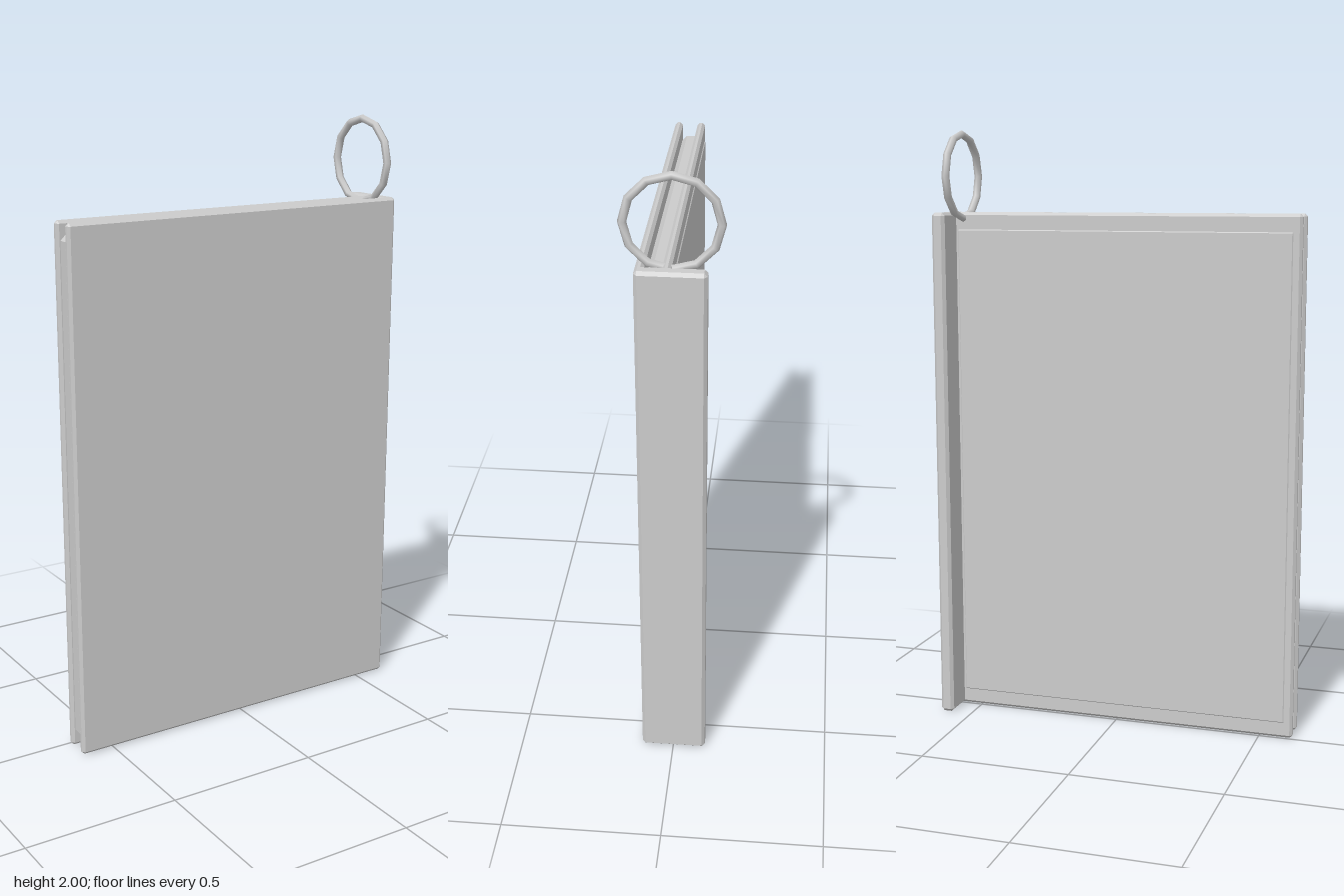
import * as THREE from 'three';
import { ConvexGeometry } from 'three/addons/geometries/ConvexGeometry.js';

const grey = new THREE.MeshStandardMaterial({ color: 0xcccccc });
grey.name = 'plain grey';

// Box between two corners with every edge chamfered by c
function chamferBox(name, min, max, c) {
  const centre = min.map((v, i) => (v + max[i]) / 2);
  const half = min.map((v, i) => (max[i] - v) / 2);
  const points = [];
  for (let face = 0; face < 3; face++) {
    for (const sx of [-1, 1]) for (const sy of [-1, 1]) for (const sz of [-1, 1]) {
      const p = [sx, sy, sz].map((s, i) => s * (half[i] - (i === face ? 0 : c)));
      points.push(new THREE.Vector3(...p));
    }
  }
  const mesh = new THREE.Mesh(new ConvexGeometry(points), grey);
  mesh.name = name;
  mesh.position.set(...centre);
  return mesh;
}

export function createModel() {
  const model = new THREE.Group();
  model.name = 'book';

  // Two covers, with the back one set at the middle of the spine
  model.add(chamferBox('frontCover', [-0.612, 0.004, 0.076], [0.61, 1.73, 0.102], 0.009));
  model.add(chamferBox('backCover', [-0.612, 0.004, 0], [0.61, 1.73, 0.026], 0.009));

  // Spine reaching behind the covers
  model.add(chamferBox('spine', [0.565, 0.003, -0.104], [0.611, 1.73, 0.102], 0.01));

  // Page block, recessed between the covers and just breaking through the back
  model.add(chamferBox('pages', [-0.6, 0.04, -0.003], [0.575, 1.69, 0.08], 0.02));

  // Faceted ring standing on the top edge beside the spine
  const ring = new THREE.Mesh(new THREE.TorusGeometry(0.138, 0.013, 6, 12), grey);
  ring.name = 'ring';
  ring.rotation.y = Math.PI / 2;
  ring.position.set(0.54, 1.849, 0);
  model.add(ring);

  return model;
}
